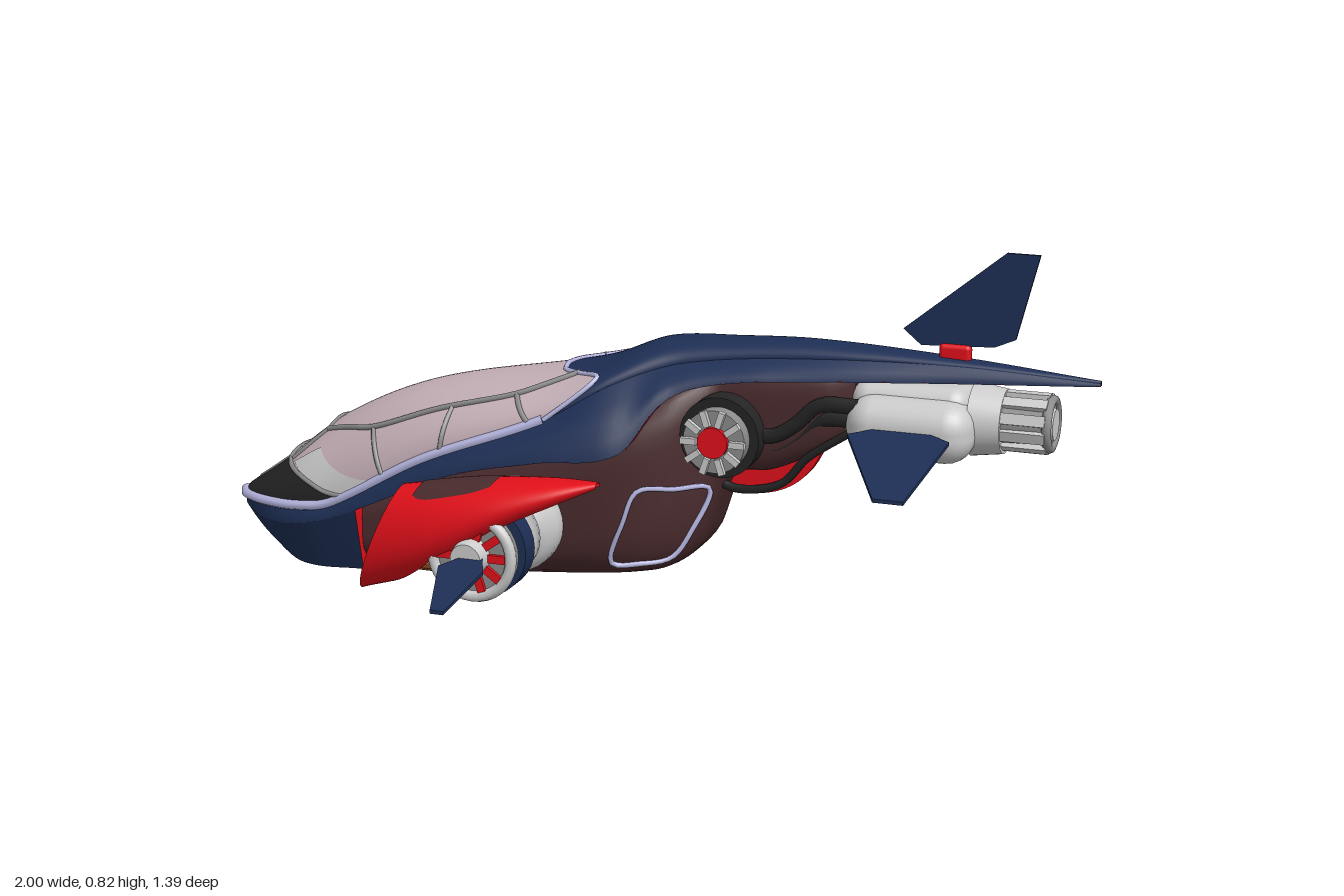
import * as THREE from 'three';
import { RoundedBoxGeometry } from 'three/addons/geometries/RoundedBoxGeometry.js';
import { ConvexGeometry } from 'three/addons/geometries/ConvexGeometry.js';

const NAVY = 0x1e2f55, RED = 0xe3101a, BROWN = 0x4a2b2d, GLASS = 0xc6b0b8, TRIM = 0xb9b9e4,
  BLACK = 0x242424, GREY = 0xcccccc, STEEL = 0x8c8c8c, PAD = 0x84481f;
const V = (x, y, z) => new THREE.Vector3(x, y, z);
const lerp = THREE.MathUtils.lerp;

// smooth curve through [key, value] pairs
function rail(...p) {
  const slope = i => {
    const a = p[Math.max(i - 1, 0)], b = p[Math.min(i + 1, p.length - 1)];
    return (b[1] - a[1]) / (b[0] - a[0]);
  };
  return x => {
    let i = 0;
    while (i < p.length - 2 && x > p[i + 1][0]) i++;
    const [x0, y0] = p[i], [x1, y1] = p[i + 1], h = x1 - x0;
    const t = Math.min(1, Math.max(0, (x - x0) / h)), t2 = t * t, t3 = t2 * t;
    return (2 * t3 - 3 * t2 + 1) * y0 + (t3 - 2 * t2 + t) * h * slope(i) + (3 * t2 - 2 * t3) * y1 + (t3 - t2) * h * slope(i + 1);
  };
}

// hull rails along x: crest, rim (canopy edge), skirt (widest line), nose floor
const crest = rail([-1, .142], [-.9, .215], [-.74, .335], [-.53, .427], [-.2, .495], [-.1, .52], [.035, .575], [.2, .59], [.38, .598], [.7, .585], [1, .562]);
const rimY = rail([-1, .135], [-.9, .14], [-.8, .148], [-.71, .168], [-.47, .3], [-.18, .415], [-.05, .49], [.1, .54], [.4, .568], [.7, .572], [1, .556]);
const rimZ = rail([-1, .045], [-.985, .08], [-.96, .108], [-.9, .145], [-.8, .178], [-.7, .195], [-.6, .205], [-.4, .208], [-.25, .195], [-.1, .16], [.1, .08], [.5, .045], [1, .004]);
const skirtY = rail([-1, .115], [-.9, .1], [-.8, .11], [-.7, .14], [-.63, .17], [-.39, .28], [-.18, .33], [0, .36], [.07, .46], [.15, .5], [.33, .522], [1, .55]);
const skirtZ = rail([-1, .045], [-.985, .08], [-.96, .11], [-.9, .152], [-.8, .195], [-.7, .217], [-.6, .235], [-.4, .25], [-.2, .25], [-.05, .235], [0, .215], [.1, .14], [.3, .102], [.5, .075], [.7, .045], [1, .006]);
const floorY = rail([-1, .095], [-.98, .08], [-.9, .04], [-.805, .005], [-.63, .02]);
const floorZ = rail([-1, .035], [-.98, .06], [-.9, .11], [-.8, .155], [-.63, .195]);
// lower body rails
const bodyBot = rail([-.64, .03], [-.3, .03], [-.1, .045], [0, .055], [.08, .075], [.14, .13], [.17, .21], [.2, .285], [.3, .31], [.42, .37], [.48, .42]);
const bodyTop = rail([-.64, .2], [-.45, .27], [-.3, .335], [-.1, .4], [0, .45], [.08, .49], [.14, .52], [.2, .535], [.48, .56]);
const bodyW = rail([-.64, .195], [-.3, .205], [-.1, .205], [0, .192], [.08, .158], [.13, .118], [.17, .088], [.2, .085], [.3, .09], [.42, .08], [.48, .05]);

// point on the upper hull; t = -1..1 runs from rim to rim over the crest
function dome(x, t, lift = 0) {
  const a = t * Math.PI / 2;
  return V(x, lerp(rimY(x), crest(x), Math.cos(a)) + lift * Math.cos(a), (rimZ(x) + lift) * Math.sin(a));
}
function bodyZ(x, y) {
  const c = (bodyTop(x) + bodyBot(x)) / 2, h = (bodyTop(x) - bodyBot(x)) / 2;
  return bodyW(x) * Math.pow(Math.max(0, 1 - Math.abs((y - c) / h) ** 4), .25);
}

export function createModel() {
  const root = new THREE.Group();
  const mats = {};
  const mat = (color, thin) => mats[color + '_' + !!thin] ||= new THREE.MeshStandardMaterial({ color, side: thin ? THREE.DoubleSide : THREE.FrontSide });
  const add = (name, geo, color, thin) => {
    const m = new THREE.Mesh(geo, mat(color, thin));
    m.name = name;
    root.add(m);
    return m;
  };
  // open surface from fn(u, v) with u, v = 0..1
  const sheet = (name, color, nu, nv, fn) => {
    const g = new THREE.PlaneGeometry(1, 1, nu, nv), p = g.attributes.position;
    for (let i = 0; i < p.count; i++) {
      const q = fn(p.getX(i) + .5, p.getY(i) + .5);
      p.setXYZ(i, q.x, q.y, q.z);
    }
    g.computeVertexNormals();
    return add(name, g, color, true);
  };
  const tube = (name, color, r, pts, closed = false) =>
    add(name, new THREE.TubeGeometry(new THREE.CatmullRomCurve3(pts, closed, 'centripetal'), pts.length * 6, r, 6, closed), color);
  const cyl = (name, color, r0, r1, len, x, y, z, axis = 'z') => {
    const g = new THREE.CylinderGeometry(r1, r0, len, 32);
    axis === 'z' ? g.rotateX(Math.PI / 2) : g.rotateZ(-Math.PI / 2);
    add(name, g, color).position.set(x, y, z);
  };
  const box = (name, color, w, h, d, x, y, z, r = .01) =>
    add(name, new RoundedBoxGeometry(w, h, d, 3, r), color).position.set(x, y, z);
  // thin plate from a planar outline
  const plate = (name, color, pts, thick) =>
    add(name, new ConvexGeometry(pts.flatMap(p => [p.clone().add(thick), p.clone().sub(thick)])), color);

  // canopy: windscreen, glass, and the navy spine behind it
  const rearEdge = rail([0, -.2], [.2, -.185], [.4, -.125], [.6, -.085], [.8, -.11], [1, -.19]);
  const screenEdge = t => -.87 + .2 * Math.abs(t) ** 3;
  const patch = (name, color, x0, x1, nu) => sheet(name, color, nu, 40, (u, v) => {
    const t = v * 2 - 1, a = Math.abs(t);
    return dome(lerp(x0(a), x1(a), u), t);
  });
  patch('windscreen', BLACK, () => -1, screenEdge, 24);
  patch('canopyGlass', GLASS, screenEdge, rearEdge, 50);
  patch('spine', NAVY, rearEdge, () => 1, 80);
  const frame = (color, r, pts) => tube('canopyFrame', color, r, pts.map(([x, t]) => dome(x, t, .001)));
  const steps = Array.from({ length: 21 }, (_, i) => i / 10 - 1);
  frame(STEEL, .006, steps.map(t => [screenEdge(t), t]));
  frame(TRIM, .006, steps.map(t => [rearEdge(Math.abs(t)), t]));
  frame(STEEL, .006, [[-.77, -.25], [-.77, 0], [-.77, .25]]);
  for (const s of [1, -1]) {
    frame(STEEL, .007, [[-.77, .25], [-.7, .38], [-.62, .5], [-.45, .52], [-.27, .5], [-.2, .42], [-.14, .33]].map(([x, t]) => [x, t * s]));
    for (const [a, b, ta, tb] of [[-.77, -.85, .25, .4], [-.62, -.57, .5, 1], [-.42, -.43, .52, 1], [-.27, -.22, .5, 1]])
      frame(STEEL, .006, [0, .33, .66, 1].map(k => [lerp(a, b, k), lerp(ta, tb, k) * s]));
    frame(STEEL, .003, [[-.96, .3 * s], [-.92, .28 * s], [-.865, .26 * s]]);
    // pale corner pane beside the windscreen
    sheet('cornerPane', GREY, 8, 8, (u, v) => {
      const t = lerp(.48, .97, v), x = screenEdge(t) + .01;
      return dome(x + u * .075, t * s, .002);
    });
    tube('canopyTrim', TRIM, .012, Array.from({ length: 30 }, (_, i) => dome(lerp(-.995, -.19, (i / 29) ** 1.6), s)));

    // navy side skirt and nose cheek
    sheet('sideSkirt', NAVY, 120, 4, (u, v) => {
      const x = u * 2 - 1;
      return V(x, lerp(rimY(x), skirtY(x), v), s * lerp(rimZ(x), skirtZ(x), Math.sin(v * Math.PI / 2)));
    });
    sheet('noseCheek', NAVY, 30, 6, (u, v) => {
      const x = lerp(-1, -.63, u);
      return V(x, lerp(skirtY(x), floorY(x), v), s * lerp(skirtZ(x), floorZ(x), v));
    });
  }
  // nose underside and cross plates, red lining of the shell
  sheet('noseFloor', NAVY, 30, 6, (u, v) => {
    const x = lerp(-1, -.63, u);
    return V(x, floorY(x), (v * 2 - 1) * floorZ(x));
  });
  const crossPlate = (name, color, x) => sheet(name, color, 8, 4, (u, v) =>
    V(x, lerp(floorY(x), skirtY(x), v), (u * 2 - 1) * lerp(floorZ(x), skirtZ(x), v)));
  crossPlate('noseBackPlate', RED, -.63);
  crossPlate('noseTip', NAVY, -1);
  box('noseBumper', TRIM, .02, .022, .1, -.99, .132, 0, .008);
  sheet('shellLining', RED, 100, 6, (u, v) => {
    const x = lerp(-.63, 1, u);
    return V(x, skirtY(x) + .002, (v * 2 - 1) * skirtZ(x));
  });

  // brown lower body
  sheet('lowerBody', BROWN, 90, 48, (u, v) => {
    const x = lerp(-.64, .48, u), a = v * Math.PI * 2, c = Math.cos(a), n = Math.sin(a);
    const k = Math.pow(c ** 4 + n ** 4, -.25), mid = (bodyTop(x) + bodyBot(x)) / 2;
    return V(x, mid + (bodyTop(x) - mid) * k * n, bodyW(x) * k * c);
  });
  const keel = new THREE.Shape();
  keel.moveTo(.14, .3);
  keel.quadraticCurveTo(.15, .24, .23, .24);
  keel.quadraticCurveTo(.37, .245, .405, .38);
  keel.lineTo(.3, .4);
  add('keel', new THREE.ExtrudeGeometry(keel, { depth: .03, bevelEnabled: false }).translate(0, 0, -.015), RED);

  // engine and nozzle
  box('engineHousing', GREY, .28, .135, .27, .61, .44, 0, .06);
  box('engineTop', GREY, .26, .1, .15, .6, .48, 0, .04);
  cyl('engineRear', GREY, .08, .07, .07, .765, .455, 0, 'x');
  cyl('nozzle', STEEL, .058, .054, .14, .83, .458, 0, 'x');
  add('nozzleRing', new THREE.TorusGeometry(.052, .011, 8, 32).rotateY(Math.PI / 2), STEEL).position.set(.897, .458, 0);
  cyl('nozzleCore', GREY, .04, .034, .03, .892, .458, 0, 'x');
  for (let i = 0; i < 10; i++) {
    const a = i * Math.PI / 5, rib = add('nozzleRib', new THREE.BoxGeometry(.1, .014, .024), GREY);
    rib.position.set(.845, .458 + .058 * Math.cos(a), .058 * Math.sin(a));
    rib.rotation.x = a;
  }

  // tail fin
  box('finBase', RED, .07, .04, .025, .685, .595, 0);
  plate('tailFin', NAVY, [V(.57, .64, 0), V(.61, .607, 0), V(.77, .615, 0), V(.815, .635, 0), V(.862, .82, 0), V(.79, .82, 0)], V(0, 0, .004));

  // ring of flat spokes around an axle along z
  const spokes = (name, color, n, r, len, w, x, y, z) => {
    for (let i = 0; i < n; i++) {
      const a = i * Math.PI * 2 / n, m = add(name, new THREE.BoxGeometry(len, w, .012), color);
      m.position.set(x + r * Math.cos(a), y + r * Math.sin(a), z);
      m.rotation.z = a;
    }
  };

  for (const s of [1, -1]) {
    // door outline, belly pads
    tube('doorTrim', TRIM, .006, [[-.03, .1], [.03, .098], [.09, .11], [.13, .17], [.165, .265], [.1, .272], [.03, .27], [0, .2]]
      .map(([x, y]) => V(x, y, s * (bodyZ(x, y) + .003))), true);
    box('bellyPad', PAD, .33, .035, .1, -.455, .027, s * .07, .006);
    box('bellyStep', PAD, .24, .03, .07, -.44, .015, s * .07, .006);

    // side turbine wheel with pipes
    cyl('turbineTyre', BLACK, .09, .09, .06, .2, .395, s * .105);
    cyl('turbineHub', STEEL, .07, .07, .05, .2, .395, s * .145);
    cyl('turbineCap', RED, .034, .034, .03, .2, .395, s * .167);
    spokes('turbineSpoke', GREY, 10, .055, .036, .014, .2, .395, s * .178);
    for (const [dy, dz] of [[0, .088], [-.035, .07]])
      tube('pipe', BLACK, .018, [V(.24, .4 + dy, s * dz), V(.31, .4 + dy, s * dz), V(.36, .43 + dy, s * dz), V(.41, .475 + dy, s * dz), V(.5, .48 + dy, s * dz)]);
    tube('hangingPipe', BLACK, .01, [V(.15, .28, s * .05), V(.22, .262, s * .06), V(.32, .285, s * .065), V(.38, .35, s * .07), V(.48, .42, s * .075)]);

    // rear wing
    plate('rearWing', NAVY, [V(.55, .445, s * .13), V(.66, .445, s * .13), V(.715, .438, s * .155), V(.685, .375, s * .4), V(.62, .375, s * .4), V(.495, .436, s * .16)], V(0, .004, 0));

    // side pod axle, wheels and rotor
    const px = -.24, py = .18;
    const mount = [[0, .18], [.1, .18], [.105, .21], [.105, .24], [.09, .262], [.065, .268], [.06, .3], [.09, .302], [.09, .33], [0, .33]];
    add('podMount', new THREE.LatheGeometry(mount.map(([r, z]) => new THREE.Vector2(r, z)), 32).rotateX(s * Math.PI / 2), GREY, true)
      .position.set(px, py, 0);
    cyl('podWheel', NAVY, .105, .105, .05, px, py, s * .395);
    cyl('podAxle', STEEL, .055, .055, .13, px, py, s * .39);
    cyl('rotorDisc', STEEL, .098, .098, .025, px, py, s * .455);
    add('rotorRing', new THREE.TorusGeometry(.09, .013, 8, 36), GREY).position.set(px, py, s * .466);
    spokes('rotorVane', RED, 10, .06, .04, .018, px, py, s * .47);
    cyl('rotorHub', GREY, .045, .035, .045, px, py, s * .48);
    plate('podBlade', NAVY, [V(-.245, .183, s * .49), V(-.205, .183, s * .49), V(-.18, .172, s * .545), V(-.205, .13, s * .695), V(-.235, .13, s * .695), V(-.285, .172, s * .54)], V(0, .004, 0));

    // pod shell: hoops strung between an upper and a lower line, open below towards the tail
    const tx = rail([0, -.43], [.35, -.26], [.7, -.1], [1, .02]), ty = rail([0, .3], [.35, .33], [.7, .345], [1, .35]);
    const bx = rail([0, -.53], [.35, -.36], [.7, -.17], [1, .02]), by = rail([0, .055], [.35, .115], [.7, .235], [1, .335]);
    const pw = rail([0, .072], [.3, .094], [.55, .091], [.8, .06], [1, .012]);
    const pod = (u, a, k) => {
      const c = Math.cos(a) * k;
      return V(lerp(bx(u), tx(u), .5 + c / 2), lerp(by(u), ty(u), .5 + c / 2), s * (.395 + pw(u) * k * Math.sin(a)));
    };
    const sweep = u => lerp(Math.PI, 2.2, Math.min(1, Math.max(0, (u - .12) / .25)));
    sheet('podShell', RED, 30, 36, (u, v) => pod(u, (v * 2 - 1) * sweep(u), 1));
    sheet('podIntake', GREY, 10, 36, (u, v) => pod(u * .3, v * Math.PI * 2, .93 - u * .12));
    sheet('podLip', GREY, 2, 36, (u, v) => pod(0, v * Math.PI * 2, lerp(.93, 1, u)));
    sheet('podPanel', BROWN, 14, 20, (u, v) => {
      const k = lerp(.78, .62, u) * (1 - .25 * (2 * u - 1) ** 4);
      return pod(lerp(.1, .47, u), lerp(-k, k, v), 1.02);
    });
  }
  return root;
}
